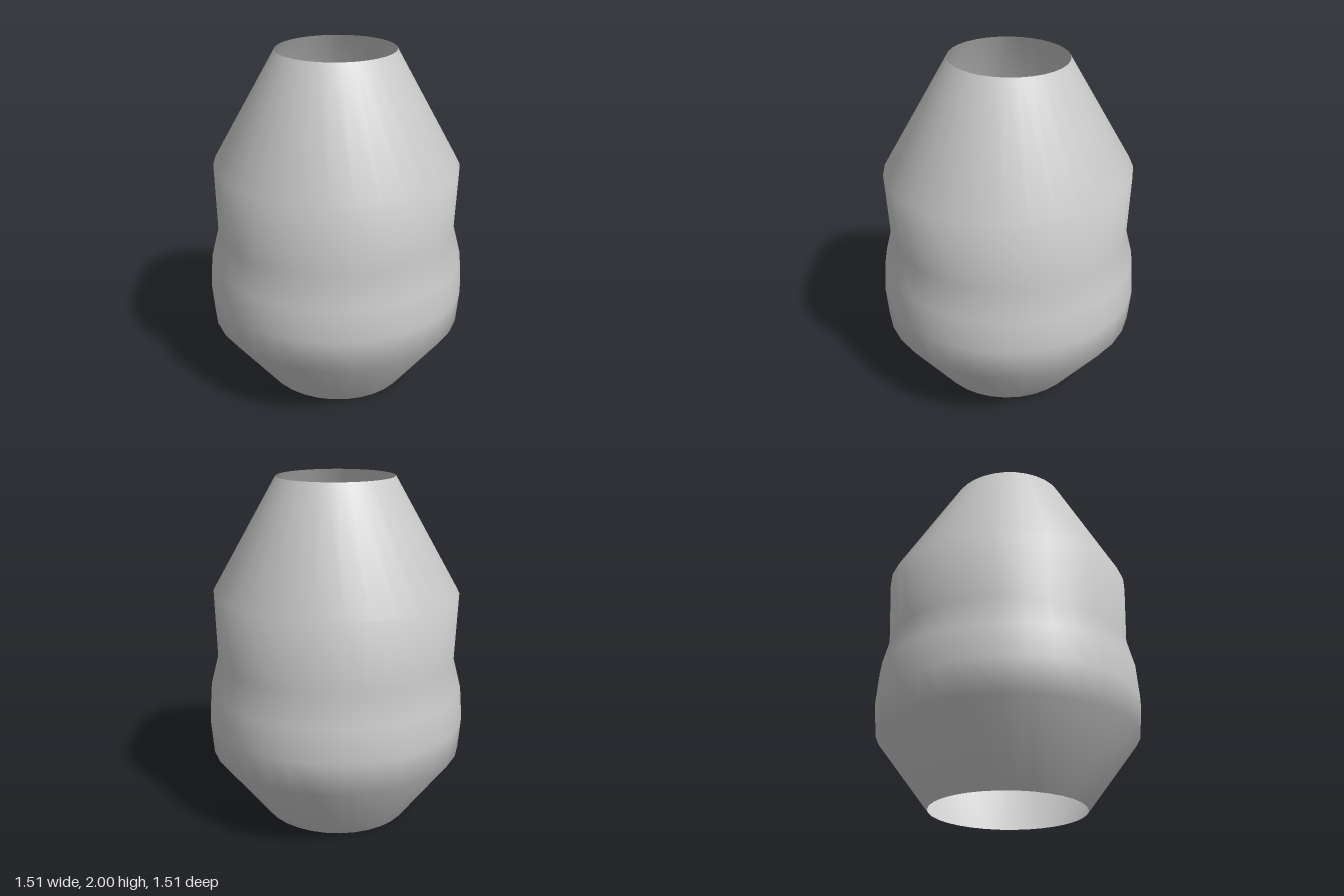
import * as THREE from 'three';
import { mergeVertices } from 'three/addons/utils/BufferGeometryUtils.js';

// Rings from bottom to top: [height, half width in x, half depth in z]
const RINGS = [
  [0, 0.432, 0.444],
  [0.4, 0.74, 0.74],
  [0.59, 0.755, 0.755],
  [0.78, 0.74, 0.74],
  [0.955, 0.695, 0.695],
  [1.35, 0.695, 0.718],
  [2, 0.343, 0.333],
];

export function createModel() {
  const group = new THREE.Group();
  group.name = 'openVessel';

  // Lathe the width profile, then stretch each ring to its own depth
  const profile = RINGS.map(([y, rx]) => new THREE.Vector2(rx, y));
  let shell = new THREE.LatheGeometry(profile, 32);
  const pos = shell.attributes.position;
  for (let i = 0; i < pos.count; i++) {
    const [, rx, rz] = RINGS[i % RINGS.length];
    pos.setZ(i, pos.getZ(i) * rz / rx);
  }

  // Weld the seam so the shading is smooth all the way round
  shell.deleteAttribute('normal');
  shell.deleteAttribute('uv');
  shell = mergeVertices(shell, 1e-4);
  shell.computeVertexNormals();

  // Thin wall, open at top and bottom
  const wall = new THREE.Mesh(
    shell,
    new THREE.MeshStandardMaterial({ color: 0xcccccc, side: THREE.DoubleSide })
  );
  wall.name = 'vesselWall';
  group.add(wall);
  return group;
}
